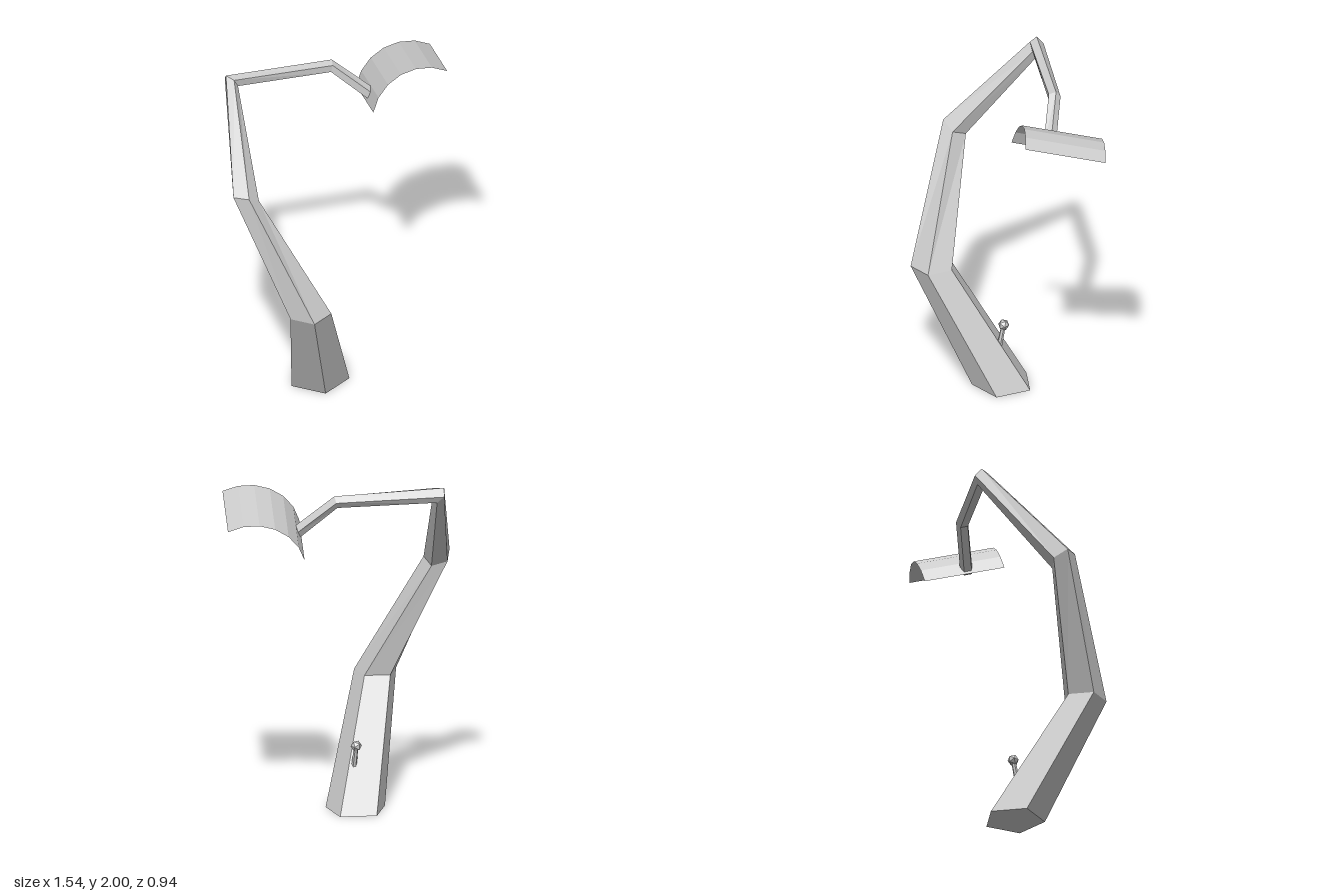
import * as THREE from 'three';

const V = (x, y, z) => new THREE.Vector3(x, y, z);
const SIDES = 5;

const grey = (side = THREE.FrontSide) =>
  new THREE.MeshStandardMaterial({ color: 0xcccccc, flatShading: true, side });

// Regular polygon around a centre, square to a normal, first corner towards ref
function ring({ center, radius, normal, ref }) {
  const n = V(...normal).normalize();
  const v = V(...ref).projectOnPlane(n).normalize();
  const w = n.clone().cross(v);
  return Array.from({ length: SIDES }, (_, k) => {
    const a = (k / SIDES) * Math.PI * 2;
    return V(...center).addScaledVector(v, radius * Math.cos(a)).addScaledVector(w, radius * Math.sin(a));
  });
}

// Skin a closed tube through the rings, with a cap at each end
function loft(rings) {
  const points = rings.flat();
  const index = [];
  for (let i = 0; i < rings.length - 1; i++) {
    for (let k = 0; k < SIDES; k++) {
      const a = i * SIDES + k, b = i * SIDES + (k + 1) % SIDES;
      index.push(a, b, b + SIDES, a, b + SIDES, a + SIDES);
    }
  }
  const last = (rings.length - 1) * SIDES;
  for (let k = 1; k < SIDES - 1; k++) {
    index.push(0, k + 1, k, last, last + k, last + k + 1);
  }
  const g = new THREE.BufferGeometry().setFromPoints(points);
  g.setIndex(index);
  g.computeVertexNormals();
  return g;
}

function addMesh(group, name, geometry, material) {
  const mesh = new THREE.Mesh(geometry, material);
  mesh.name = name;
  group.add(mesh);
  return mesh;
}

export function createModel() {
  const lamp = new THREE.Group();
  lamp.name = 'deskLamp';

  // Tapering five-sided arm, from the foot to the tip inside the shade
  const joints = [
    { center: [-0.172, 0, 0.045], radius: 0.181, normal: [0, 1, 0], ref: [0, 0, -1] },
    { center: [-0.525, 0.717, 0.275], radius: 0.128, normal: [0, 1, 0], ref: [0, 0, -1] },
    { center: [-0.703, 1.45, -0.062], radius: 0.082, normal: [0.487, 0.84, -0.244], ref: [-0.007, -0.016, -0.068] },
    { center: [-0.4, 1.962, -0.421], radius: 0.05, normal: [0.87, 0.49, 0.02], ref: [0.01, 0, -0.05] },
    { center: [0.11, 1.948, -0.097], radius: 0.038, normal: [0.83, -0.25, 0.62], ref: [0.7, 0, -0.8] },
    { center: [0.27, 1.743, 0.086], radius: 0.038, normal: [0.51, -0.65, 0.58], ref: [0.75, 0, -0.66] },
  ];
  addMesh(lamp, 'arm', loft(joints.map(ring)), grey());

  // Shade: a thin curved sheet, an arc swept along a tilted straight axis
  const halfAngle = 0.92, chord = 0.49, length = 0.475, facets = 6;
  const radius = chord / 2 / Math.sin(halfAngle);
  const shadeGeo = new THREE.PlaneGeometry(1, length, facets, 1);
  const pos = shadeGeo.attributes.position;
  for (let i = 0; i < pos.count; i++) {
    const a = pos.getX(i) * 2 * halfAngle;
    const y = pos.getY(i);
    pos.setXYZ(i, radius * Math.sin(a), y, radius * (Math.cos(a) - Math.cos(halfAngle)));
  }
  shadeGeo.computeVertexNormals();
  const across = V(0.782, 0.398, 0.48).normalize();
  const along = V(-0.584, 0.231, 0.778).projectOnPlane(across).normalize();
  const outward = across.clone().cross(along);
  if (outward.y < 0) {
    along.negate();
    outward.negate();
  }
  shadeGeo.applyMatrix4(new THREE.Matrix4().makeBasis(across, along, outward));
  addMesh(lamp, 'shade', shadeGeo, grey(THREE.DoubleSide)).position.set(0.437, 1.808, 0.163);

  // Switch: a short leaning stem with a faceted knob
  const knobAt = V(-0.17, 0.383, 0.042);
  const stemFoot = V(-0.177, 0.24, 0.072);
  const stemAxis = knobAt.clone().sub(stemFoot);
  const stem = addMesh(lamp, 'switchStem',
    new THREE.CylinderGeometry(0.013, 0.016, stemAxis.length(), 6), grey());
  stem.position.copy(knobAt).add(stemFoot).multiplyScalar(0.5);
  stem.quaternion.setFromUnitVectors(V(0, 1, 0), stemAxis.normalize());
  addMesh(lamp, 'switchKnob', new THREE.IcosahedronGeometry(0.033, 0), grey()).position.copy(knobAt);

  return lamp;
}
